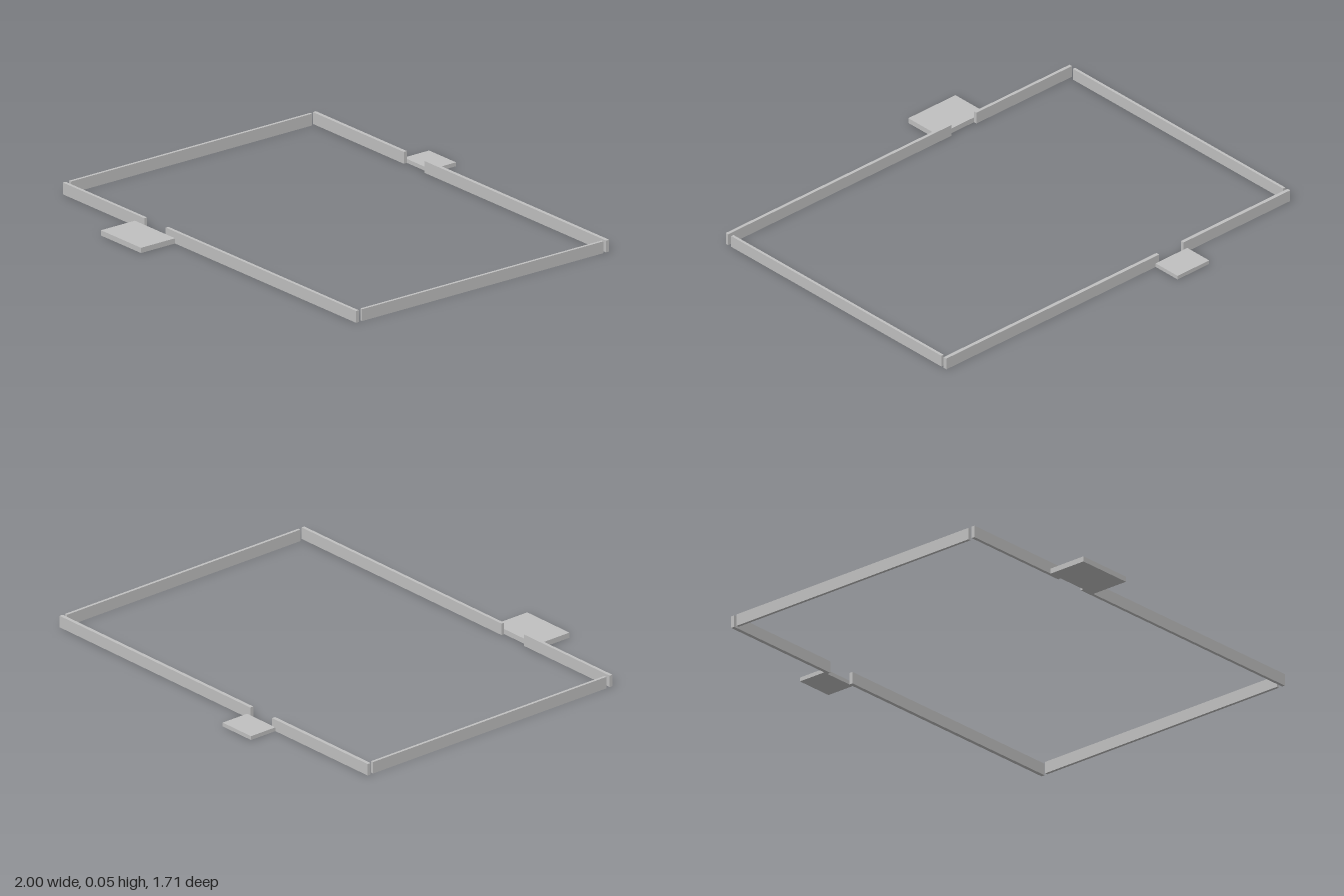
import * as THREE from 'three';

export function createModel() {
  const model = new THREE.Group();
  const grey = new THREE.MeshStandardMaterial({ color: 0xc0c0c0 });
  grey.name = 'concreteGrey';

  // Box standing on the ground, given by its x and z limits and height
  function block(name, x0, x1, z0, z1, height) {
    const mesh = new THREE.Mesh(new THREE.BoxGeometry(x1 - x0, height, z1 - z0), grey);
    mesh.name = name;
    mesh.position.set((x0 + x1) / 2, height / 2, (z0 + z1) / 2);
    model.add(mesh);
  }

  const wallHeight = 0.054;

  // Front and back walls, each split by a gate opening, with a slab outside it
  const sides = [
    { name: 'front', z: [0.653, 0.668], gap: [-0.444, -0.298],
      slabX: [-0.508, -0.234], slabZ: [0.668, 0.854], slabHeight: 0.024 },
    { name: 'back', z: [-0.716, -0.699], gap: [-0.38, -0.238],
      slabX: [-0.401, -0.217], slabZ: [-0.854, -0.716], slabHeight: 0.018 },
  ];
  for (const s of sides) {
    block(s.name + 'WallRight', -1, s.gap[0], ...s.z, wallHeight);
    block(s.name + 'WallLeft', s.gap[1], 1, ...s.z, wallHeight);
    block(s.name + 'EntranceSlab', ...s.slabX, ...s.slabZ, s.slabHeight);
  }

  // Side walls, stopping just short of the corners
  block('rightWall', -1, -0.987, -0.685, 0.634, wallHeight);
  block('leftWall', 0.987, 1, -0.685, 0.634, wallHeight);

  return model;
}
